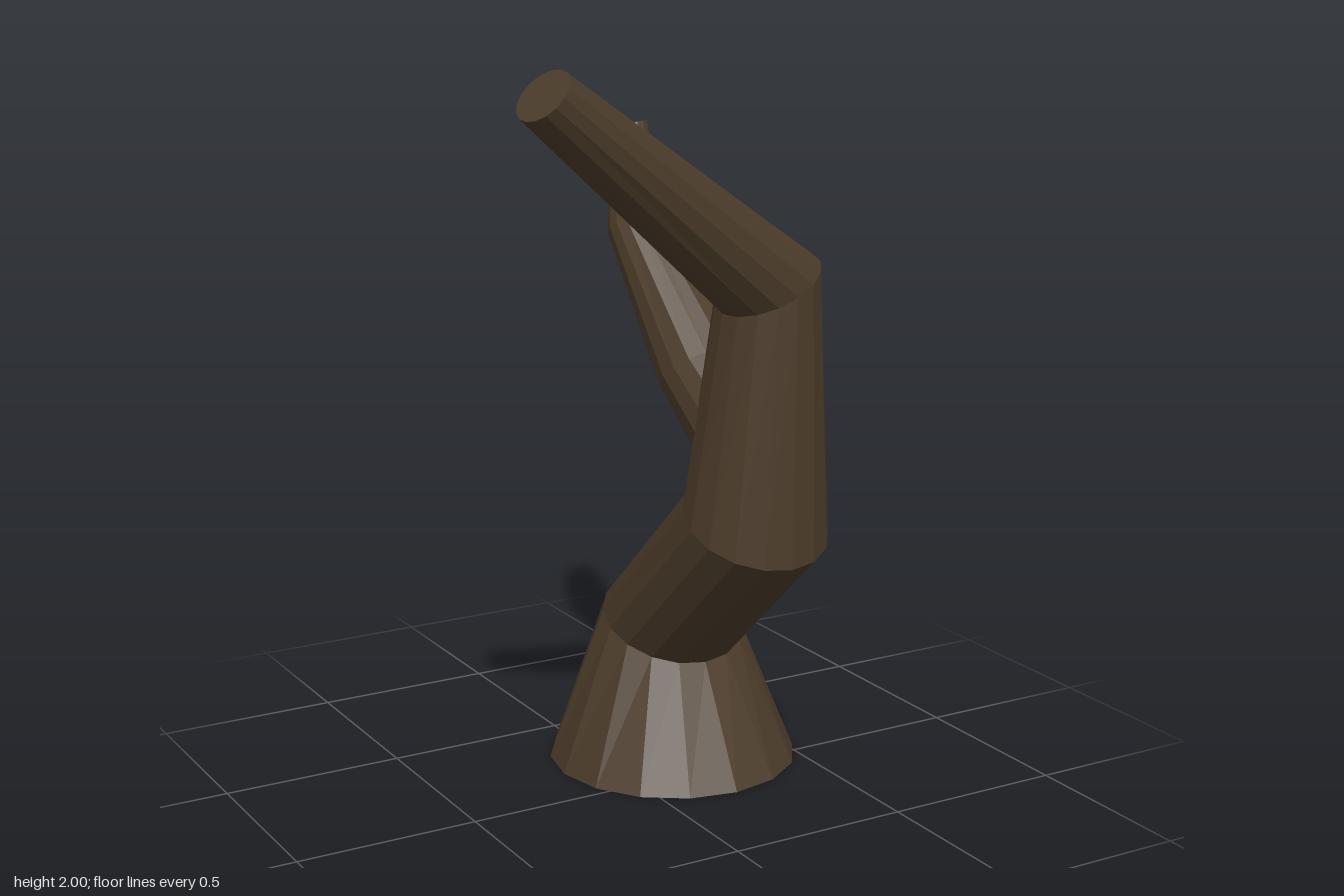
import * as THREE from 'three';

const SIDES = 16;
const material = new THREE.MeshStandardMaterial({ color: 0x4d3d2b, flatShading: true, roughness: 1 });

// Limb skinned over elliptical rings: [centre, half-axis u, half-axis v], with capped ends
function limb(name, rings) {
  const positions = [];
  const index = [];
  const add = (p) => positions.push(p.x, p.y, p.z) / 3 - 1;
  const loops = rings.map(([c, u, v]) => {
    const centre = new THREE.Vector3(...c);
    const loop = [];
    for (let j = 0; j < SIDES; j++) {
      const t = (j / SIDES) * Math.PI * 2;
      loop.push(add(centre.clone()
        .addScaledVector(new THREE.Vector3(...u), Math.cos(t))
        .addScaledVector(new THREE.Vector3(...v), Math.sin(t))));
    }
    return loop;
  });
  const bottom = add(new THREE.Vector3(...rings[0][0]));
  const top = add(new THREE.Vector3(...rings[rings.length - 1][0]));
  const last = loops[loops.length - 1];
  for (let j = 0; j < SIDES; j++) {
    const k = (j + 1) % SIDES;
    for (let i = 0; i < loops.length - 1; i++) {
      const lo = loops[i], hi = loops[i + 1];
      index.push(lo[j], lo[k], hi[k], lo[j], hi[k], hi[j]);
    }
    index.push(bottom, loops[0][k], loops[0][j], top, last[j], last[k]);
  }
  const indexed = new THREE.BufferGeometry();
  indexed.setAttribute('position', new THREE.Float32BufferAttribute(positions, 3));
  indexed.setIndex(index);
  const geometry = indexed.toNonIndexed();
  geometry.computeVertexNormals();
  const mesh = new THREE.Mesh(geometry, material);
  mesh.name = name;
  return mesh;
}

export function createModel() {
  const tree = new THREE.Group();
  tree.name = 'bareTree';

  // Flared foot, crooked trunk and the long limb leaning to one side
  tree.add(limb('trunk', [
    [[0.2, 0, -0.168], [0.345, 0, 0], [0, 0, -0.345]],
    [[0.2, 0.4, -0.168], [0.198, 0, 0], [0, 0.08, -0.177]],
    [[0.2, 0.785, 0.252], [0.197, 0, 0], [0, 0.085, -0.177]],
    [[0.198, 1.42, 0.297], [0.132, 0.065, 0], [0, 0.012, -0.143]],
    [[-0.505, 1.943, 0.437], [0.045, 0.057, 0], [-0.015, 0, -0.075]],
  ]));

  // Shorter bent branch growing out of the trunk's back
  tree.add(limb('branch', [
    [[0.205, 0.965, 0.25], [0.14, 0, 0], [0, -0.112, -0.081]],
    [[0.18, 1.143, 0.022], [0.125, 0, 0], [0, -0.078, -0.098]],
    [[0.158, 1.485, -0.297], [0.082, 0, 0], [0, -0.045, -0.063]],
    [[0.2, 1.735, -0.414], [0.053, 0.008, 0], [0, -0.02, -0.049]],
  ]));

  return tree;
}
